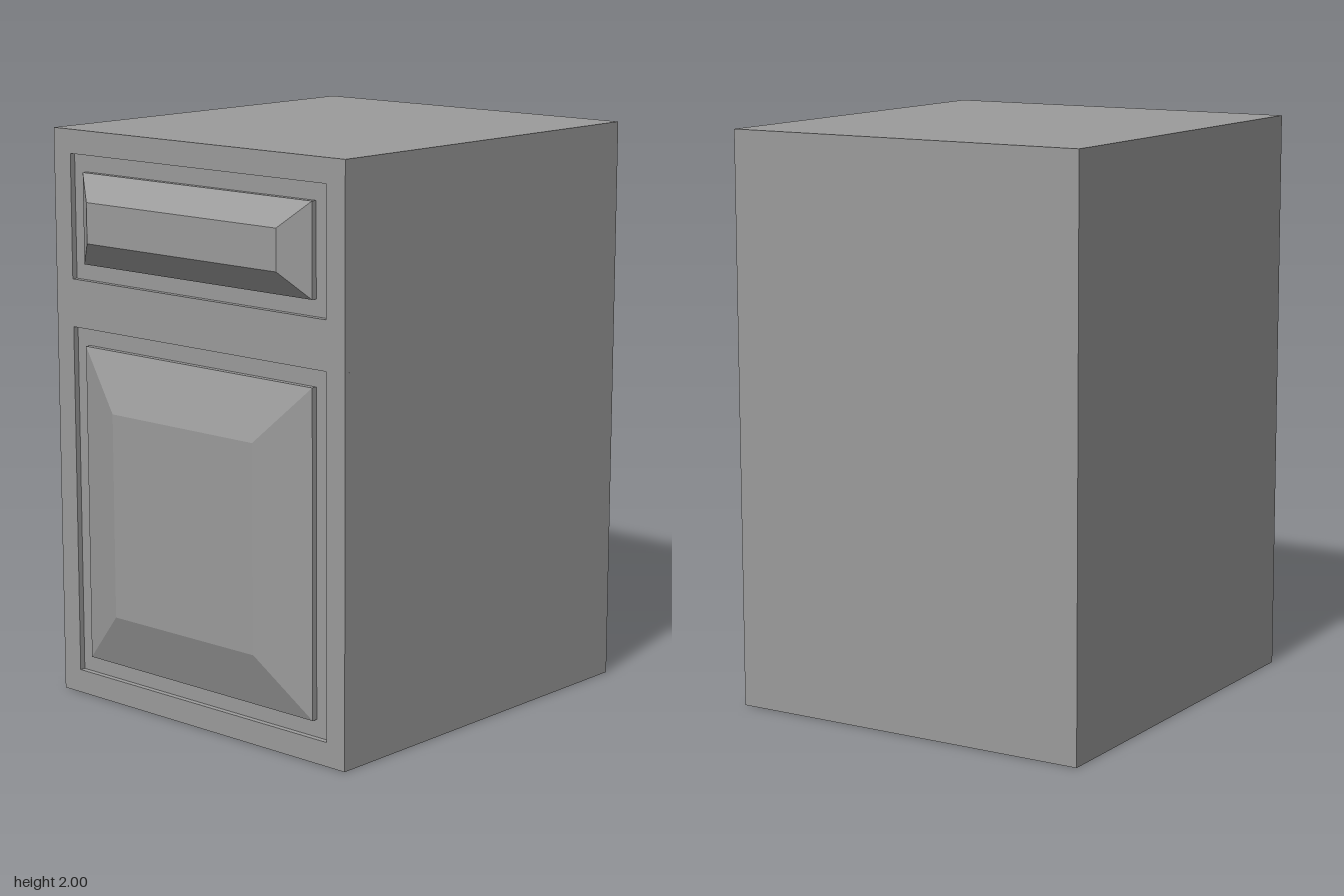
import * as THREE from 'three';

const material = new THREE.MeshStandardMaterial({ color: 0x9b9b9b, flatShading: true });

const WIDTH = 1.33, HEIGHT = 2;
const BACK = -0.75, RECESS = 0.66, FACE = 0.68, FRONT = 0.75;

// Each front: half width and y range of the recess, the raised base and the flat centre
const fronts = [
  { name: 'drawerFront', recess: [0.585, 1.485, 1.917], base: [0.525, 1.542, 1.857], centre: [0.435, 1.63, 1.77] },
  { name: 'doorPanel', recess: [0.585, 0.083, 1.318], base: [0.525, 0.143, 1.257], centre: [0.325, 0.342, 1.058] },
];

function rectangle(target, [halfWidth, bottom, top]) {
  target.moveTo(-halfWidth, bottom);
  target.lineTo(halfWidth, bottom);
  target.lineTo(halfWidth, top);
  target.lineTo(-halfWidth, top);
  target.closePath();
  return target;
}

function addMesh(group, name, geometry) {
  const mesh = new THREE.Mesh(geometry, material);
  mesh.name = name;
  group.add(mesh);
  return mesh;
}

// Raised panel: a box in two layers, straight at the base and bevelled to the centre
function raisedPanel(base, centre) {
  const box = new THREE.BoxGeometry(2, 2, 2, 1, 1, 2);
  const p = box.attributes.position;
  for (let i = 0; i < p.count; i++) {
    const layer = p.getZ(i);
    const [halfWidth, bottom, top] = layer > 0.5 ? centre : base;
    const z = layer < -0.5 ? RECESS : layer > 0.5 ? FRONT : FACE;
    p.setXYZ(i, p.getX(i) * halfWidth, p.getY(i) > 0 ? top : bottom, z);
  }
  const geometry = box.toNonIndexed();
  geometry.computeVertexNormals();
  return geometry;
}

export function createModel() {
  const model = new THREE.Group();
  model.name = 'cabinet';

  // Carcass, whose front forms the floor of the recesses
  const depth = RECESS - BACK;
  addMesh(model, 'carcass', new THREE.BoxGeometry(WIDTH, HEIGHT, depth))
    .position.set(0, HEIGHT / 2, BACK + depth / 2);

  // Face frame with an opening around each front
  const frame = rectangle(new THREE.Shape(), [WIDTH / 2, 0, HEIGHT]);
  for (const { recess } of fronts) frame.holes.push(rectangle(new THREE.Path(), recess));
  addMesh(model, 'faceFrame', new THREE.ExtrudeGeometry(frame, { depth: FACE - RECESS, bevelEnabled: false }))
    .position.z = RECESS;

  // Drawer front and door panel
  for (const { name, base, centre } of fronts) addMesh(model, name, raisedPanel(base, centre));

  return model;
}
